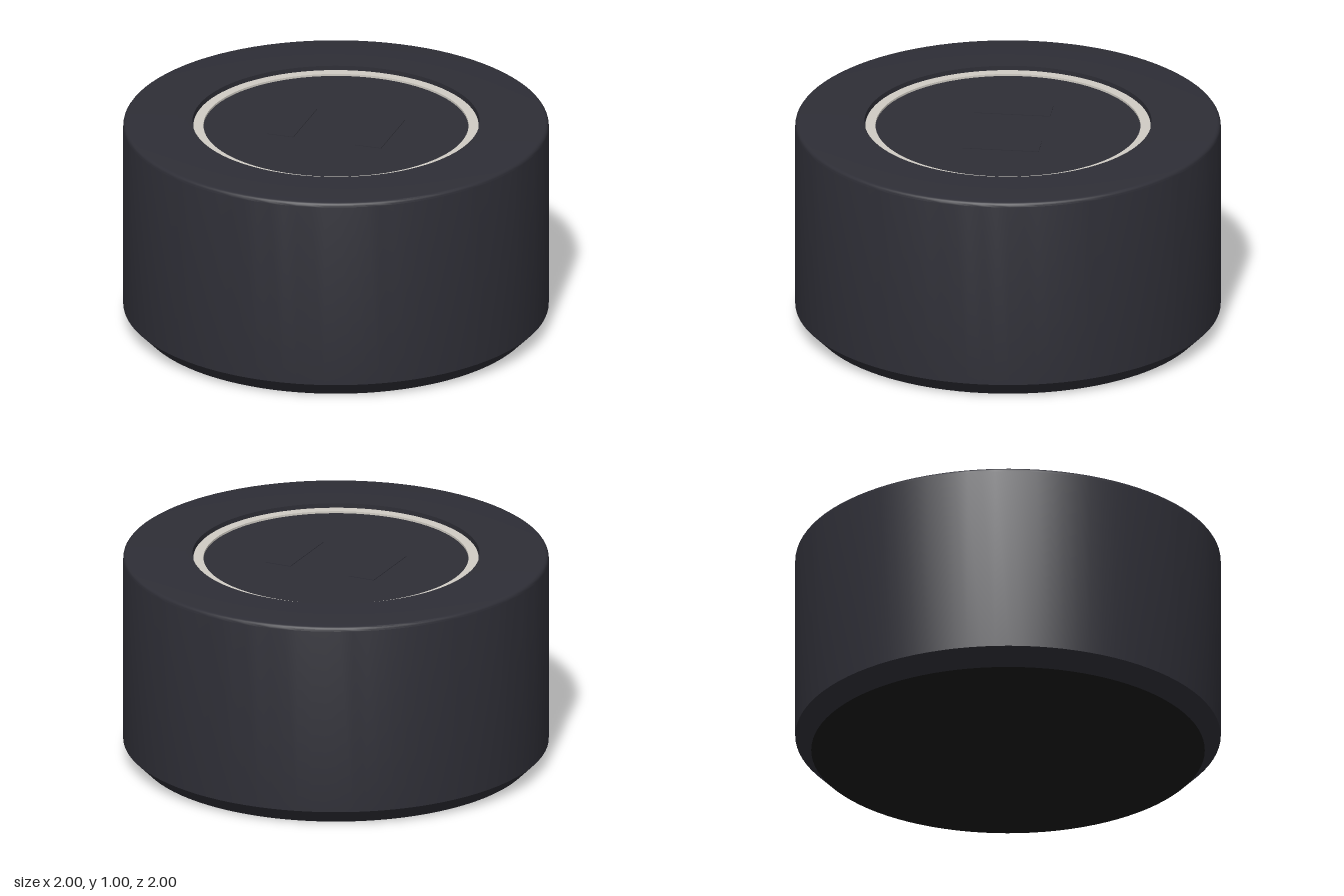
import * as THREE from 'three';
import { toCreasedNormals } from 'three/addons/utils/BufferGeometryUtils.js';

const SEGMENTS = 96;

export function createModel() {
  const group = new THREE.Group();
  const material = (name, color) => {
    const m = new THREE.MeshStandardMaterial({ color });
    m.name = name;
    return m;
  };
  const charcoal = material('charcoal', 0x2e2e36);
  const black = material('black', 0x1a1a1a);
  const warmWhite = material('warm white', 0xd0ccc4);

  const add = (name, geometry, mat) => {
    const mesh = new THREE.Mesh(geometry, mat);
    mesh.name = name;
    group.add(mesh);
    return mesh;
  };
  // Revolved profile, with hard edges kept sharp
  const turned = (points) => toCreasedNormals(
    new THREE.LatheGeometry(points.map(([r, y]) => new THREE.Vector2(r, y)), SEGMENTS), 0.5);

  // Body: chamfered foot, straight wall, rounded top edge, recess wall
  const bevel = [];
  for (let i = 0; i <= 4; i++) {
    const a = (i / 4) * Math.PI / 2;
    bevel.push([0.98 + 0.02 * Math.cos(a), 0.98 + 0.02 * Math.sin(a)]);
  }
  add('body', turned([[0.925, 0], [1, 0.075], ...bevel, [0.675, 1], [0.675, 0.97]]), charcoal);

  // Underside
  const base = add('basePlate', new THREE.CircleGeometry(0.925, SEGMENTS), black);
  base.rotation.x = Math.PI / 2;

  // Recessed top plate
  const plate = add('topPlate', new THREE.CircleGeometry(0.675, SEGMENTS), charcoal);
  plate.rotation.x = -Math.PI / 2;
  plate.position.y = 0.97;

  // Pale ring standing just above the recess floor
  add('ring', turned([[0.67, 0.97], [0.67, 0.98], [0.623, 0.98], [0.623, 0.97]]), warmWhite);

  // Pair of thin pads on the top plate
  for (const side of [-1, 1]) {
    const pad = add(side < 0 ? 'rightPad' : 'leftPad', new THREE.BoxGeometry(0.13, 0.004, 0.36), charcoal);
    pad.position.set(side * 0.217, 0.971, 0);
  }
  return group;
}
